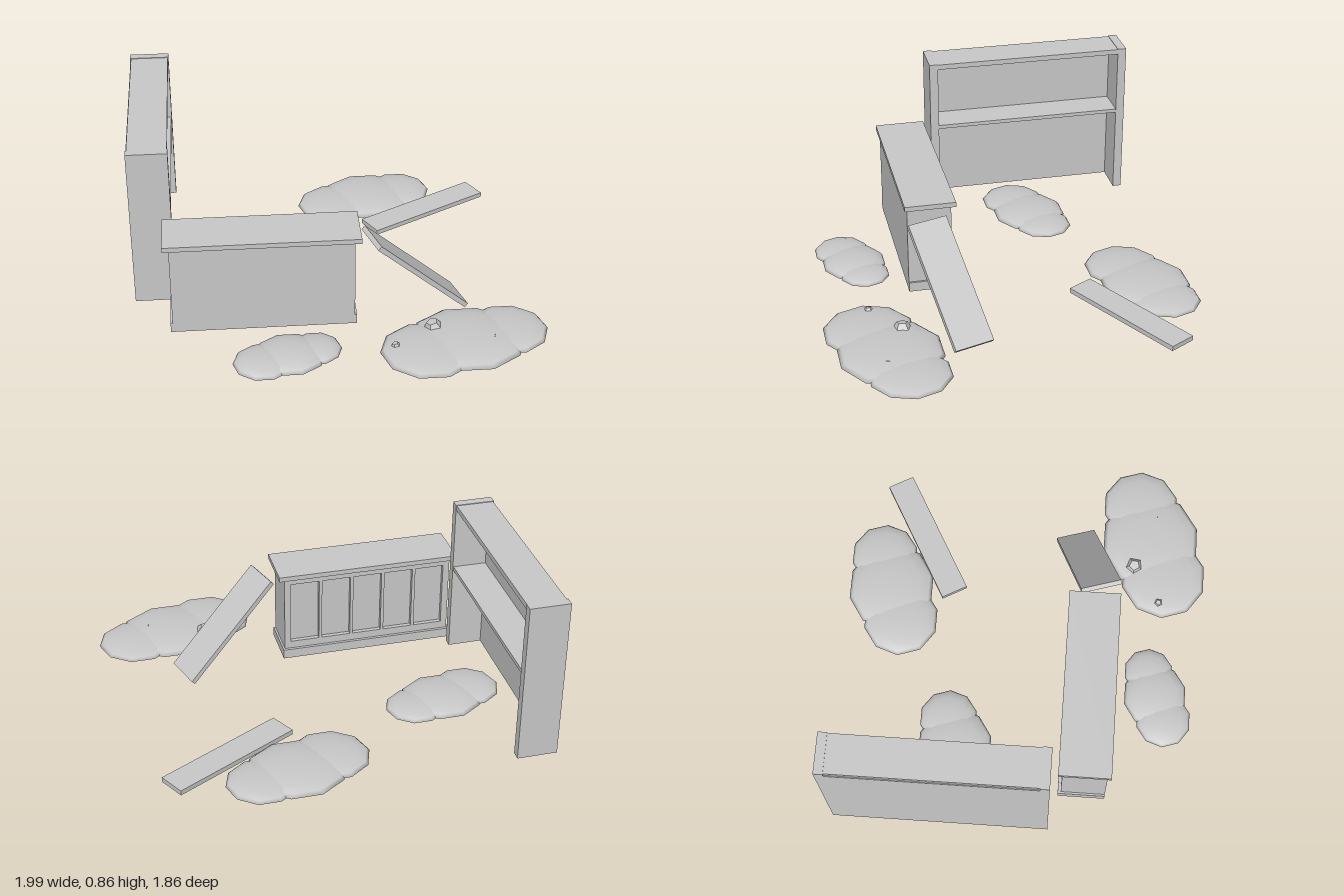
import * as THREE from 'three';

export function createModel() {
  const root = new THREE.Group();
  const grey = new THREE.MeshStandardMaterial({ color: 0xc8c8c8 });
  grey.name = 'plain grey';
  const greyOpen = new THREE.MeshStandardMaterial({ color: 0xc8c8c8, side: THREE.DoubleSide });
  greyOpen.name = 'plain grey';

  const add = (parent, name, geo, mat = grey) => {
    const m = new THREE.Mesh(geo, mat);
    m.name = name;
    parent.add(m);
    return m;
  };
  const group = (name) => {
    const g = new THREE.Group();
    g.name = name;
    root.add(g);
    return g;
  };
  // box given by its lower and upper bounds
  const slab = (parent, name, x0, x1, y0, y1, z0, z1) => {
    const m = add(parent, name, new THREE.BoxGeometry(x1 - x0, y1 - y0, z1 - z0));
    m.position.set((x0 + x1) / 2, (y0 + y1) / 2, (z0 + z1) / 2);
    return m;
  };
  const G = 0.025; // ground level of the furniture

  // Tall shelf, open towards +x and at the floor
  const shelf = group('shelf');
  slab(shelf, 'shelfFrontSide', -1, -0.8, G, 0.855, 0.14, 0.185);
  slab(shelf, 'shelfBackSide', -1, -0.8, G, 0.855, -0.89, -0.845);
  slab(shelf, 'shelfTop', -0.995, -0.803, 0.825, 0.852, -0.845, 0.14);
  slab(shelf, 'shelfBoard', -0.98, -0.803, 0.48, 0.5, -0.845, 0.14);
  slab(shelf, 'shelfBackPanel', -1, -0.975, G, 0.825, -0.845, 0.14);

  // Counter with a panelled inner face
  const counter = group('counter');
  slab(counter, 'counterTop', -0.845, 0.095, 0.49, 0.515, 0.22, 0.475);
  slab(counter, 'counterBody', -0.815, 0.065, G, 0.49, 0.262, 0.46);
  slab(counter, 'counterPlinth', -0.825, 0.075, G, 0.075, 0.225, 0.46);
  const face = new THREE.Shape([[-0.815, 0.075], [0.065, 0.075], [0.065, 0.49], [-0.815, 0.49]]
    .map(([x, y]) => new THREE.Vector2(x, y)));
  for (let i = 0; i < 5; i++) {
    const x = -0.782 + i * 0.166, w = 0.15;
    face.holes.push(new THREE.Path([[x, 0.115], [x, 0.455], [x + w, 0.455], [x + w, 0.115]]
      .map(([a, b]) => new THREE.Vector2(a, b))));
  }
  const frame = add(counter, 'counterPanelFrame',
    new THREE.ExtrudeGeometry(face, { depth: 0.022, bevelEnabled: false }));
  frame.position.z = 0.24;

  // Fallen planks: one leaning, one flat on the ground
  const leaning = add(root, 'leaningPlank', new THREE.BoxGeometry(0.652, 0.025, 0.205));
  leaning.position.set(0.375, 0.233, 0.307);
  leaning.rotation.set(0, 0.3, -0.759, 'YXZ');
  const flat = add(root, 'flatPlank', new THREE.BoxGeometry(0.698, 0.025, 0.14));
  flat.position.set(0.528, 0.04, -0.55);
  flat.rotation.y = 0.508;

  // Rubble mounds: three overlapping flattened domes each
  const dome = new THREE.SphereGeometry(1, 10, 4, 0, Math.PI * 2, 0, Math.PI / 2);
  const lobes = [ // x, z, radius x, radius z, height
    [-0.185, 0.055, 0.23, 0.224, 0.036],
    [0.015, -0.02, 0.28, 0.258, 0.042],
    [0.215, -0.08, 0.2, 0.2, 0.034],
  ];
  const mounds = [ // x, z, scale
    [0.575, 0.655, 1], [-0.277, 0.705, 0.63], [0.225, -0.698, 0.875], [-0.617, -0.297, 0.74],
  ];
  for (const [mx, mz, s] of mounds) {
    const mound = group('rubbleMound');
    mound.position.set(mx, G, mz);
    mound.scale.set(s, 1, s);
    for (const [x, z, rx, rz, h] of lobes) {
      const m = add(mound, 'rubbleLobe', dome, greyOpen);
      m.position.set(x, 0, z);
      m.scale.set(rx, h, rz);
    }
  }

  // Loose stones on the largest mound
  for (const [x, y, z, r] of [[0.435, 0.043, 0.555, 0.046], [0.237, 0.045, 0.69, 0.022], [0.71, 0.045, 0.665, 0.02]]) {
    const stone = add(root, 'stone', new THREE.DodecahedronGeometry(r));
    stone.position.set(x, y, z);
    stone.rotation.set(0.5, 0.3, 0.1);
  }
  return root;
}
